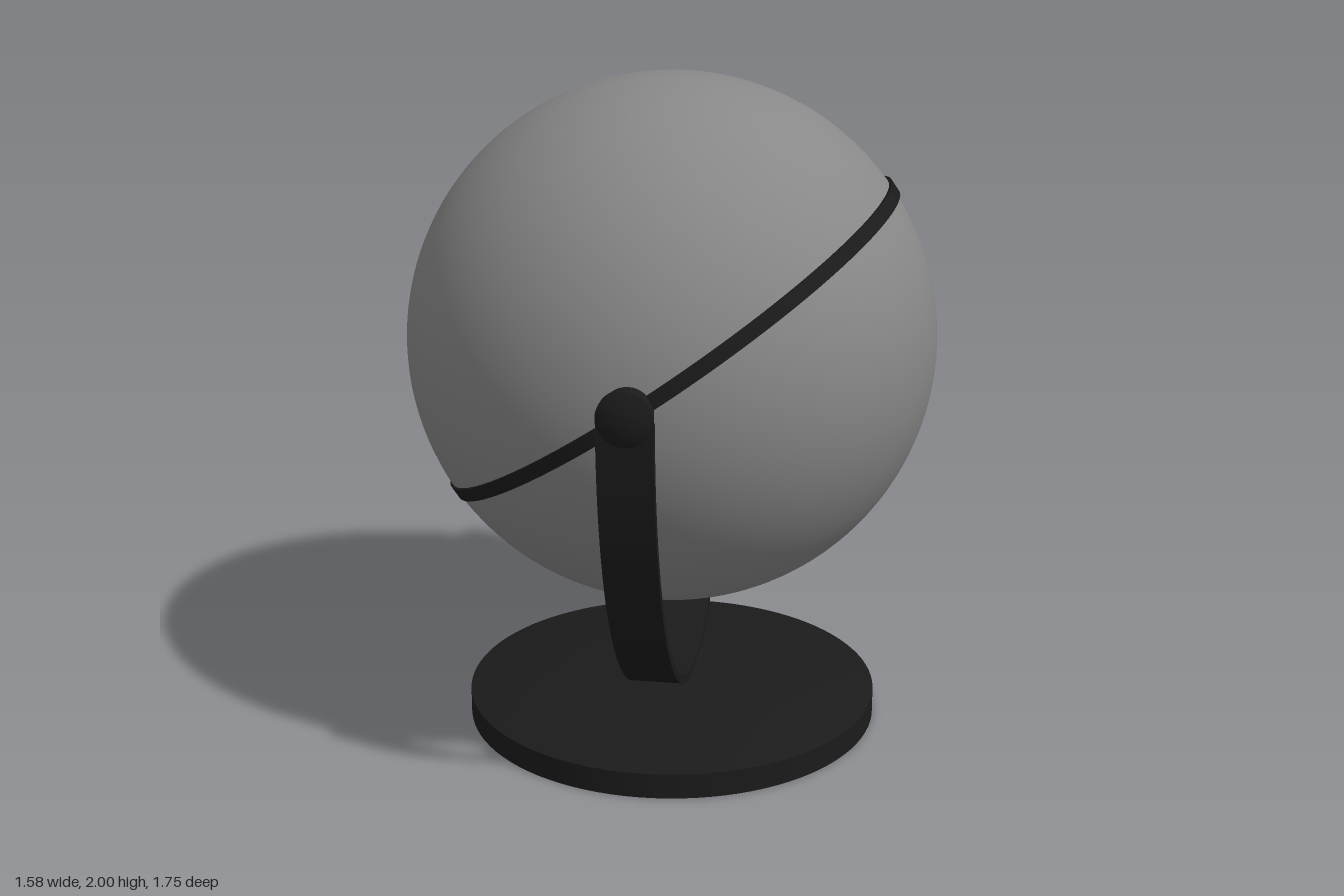
import * as THREE from 'three';
import { toCreasedNormals } from 'three/addons/utils/BufferGeometryUtils.js';

const CENTER_Y = 1.21;
const RADIUS = 0.79;

export function createModel() {
  const model = new THREE.Group();
  const grey = new THREE.MeshStandardMaterial({ color: 0x888888 });
  const dark = new THREE.MeshStandardMaterial({ color: 0x1b1b1b });

  const add = (name, geometry, material, y = 0) => {
    const mesh = new THREE.Mesh(geometry, material);
    mesh.name = name;
    mesh.position.y = y;
    model.add(mesh);
    return mesh;
  };
  const lathe = (points, segments) => toCreasedNormals(
    new THREE.LatheGeometry(points.map(([x, y]) => new THREE.Vector2(x, y)), segments), 0.5);

  // Shallow dome profile from the rim (r, y) up to the axis (0, y + h)
  const dome = (r, y, h, steps = 10) => {
    const R = (r * r + h * h) / (2 * h);
    const points = [];
    for (let i = 0; i <= steps; i++) {
      const x = r * (1 - i / steps);
      points.push([x, y + h - R + Math.sqrt(R * R - x * x)]);
    }
    return points;
  };

  // Globe ball
  add('globe', new THREE.SphereGeometry(RADIUS, 96, 64), grey, CENTER_Y);

  // Tilted flat band round the ball
  const band = add('tiltedBand', lathe(
    [[0.775, -0.021], [0.799, -0.021], [0.799, 0.021], [0.775, 0.021], [0.775, -0.021]], 128), dark, CENTER_Y + 0.003);
  band.rotation.z = THREE.MathUtils.degToRad(35);

  // Round foot with a gently domed top
  add('base', lathe([[0, 0], [0.633, 0], ...dome(0.633, 0.077, 0.077)], 96), dark);

  // Half-ellipse strap that carries the ball, extruded across its width
  const strap = new THREE.Shape();
  strap.absellipse(0, 0, 0.847, 1.068, Math.PI, Math.PI * 2, false);
  strap.absellipse(0, 0, 0.822, 1.043, Math.PI * 2, Math.PI, true);
  strap.closePath();
  const width = 0.156;
  const strapGeometry = new THREE.ExtrudeGeometry(strap, { depth: width, bevelEnabled: false, curveSegments: 64 });
  strapGeometry.translate(0, 0, -width / 2).rotateY(Math.PI / 2);
  add('supportStrap', toCreasedNormals(strapGeometry, 0.5), dark, 1.209);

  // Pivot knobs at front and back: a short pin under a domed cap
  for (const [name, side] of [['frontKnob', 1], ['backKnob', -1]]) {
    const knob = add(name, lathe(
      [[0, 0.77], [0.07, 0.77], [0.07, 0.832], [0.078, 0.832], ...dome(0.078, 0.853, 0.02)], 48), dark, 1.225);
    knob.rotation.x = side * Math.PI / 2;
  }

  return model;
}
